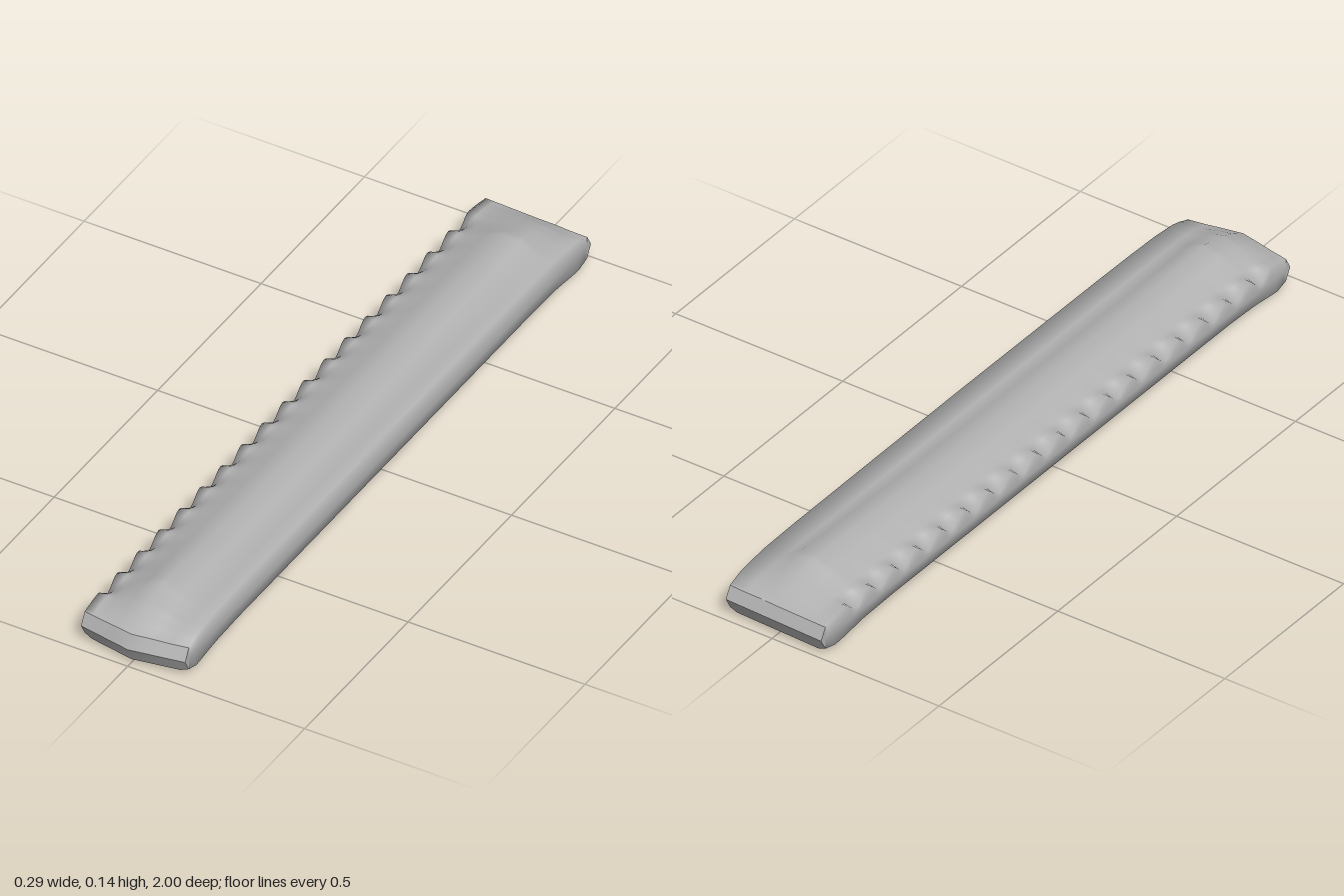
import * as THREE from 'three';
import { toCreasedNormals } from 'three/addons/utils/BufferGeometryUtils.js';

const HALF = 0.147;

// Heights along the length: [z, ridge, right shoulder, left shoulder, right lip, groove, underside]
const KEYS = [
  [-0.982, 0.083, 0.084, 0.083, 0.084, 0.083, 0.012],
  [-0.94, 0.103, 0.104, 0.1, 0.099, 0.092, 0.001],
  [-0.9, 0.116, 0.116, 0.11, 0.105, 0.097, 0.004],
  [-0.82, 0.139, 0.136, 0.122, 0.113, 0.1, 0.013],
  [-0.7, 0.136, 0.13, 0.12, 0.116, 0.1, 0.016],
  [-0.35, 0.132, 0.12, 0.119, 0.118, 0.1, 0.016],
  [0, 0.131, 0.118, 0.118, 0.119, 0.1, 0.016],
  [0.57, 0.134, 0.118, 0.12, 0.117, 0.1, 0.016],
  [0.72, 0.141, 0.12, 0.124, 0.115, 0.1, 0.016],
  [0.82, 0.145, 0.122, 0.127, 0.112, 0.1, 0.012],
  [0.9, 0.127, 0.115, 0.115, 0.105, 0.098, 0.004],
  [0.94, 0.11, 0.104, 0.104, 0.098, 0.094, 0.001],
  [0.982, 0.088, 0.087, 0.087, 0.085, 0.085, 0.012],
];

function heightsAt(z) {
  let i = 0;
  while (i < KEYS.length - 2 && z > KEYS[i + 1][0]) i++;
  const a = KEYS[i], b = KEYS[i + 1];
  const t = THREE.MathUtils.clamp((z - a[0]) / (b[0] - a[0]), 0, 1);
  return a.slice(1).map((v, k) => THREE.MathUtils.lerp(v, b[k + 1], t));
}

// Bowed front end and slightly skewed back end
function bend(x, z) {
  const end = THREE.MathUtils.smoothstep(Math.abs(z), 0.85, 0.98);
  return z > 0 ? z - 0.026 * end * Math.abs(x / HALF) : z + 0.012 * end * (x / HALF + 1) * 0.5;
}

// Cross-section, counter-clockwise as seen from the front
function section(z) {
  const [ridge, right, left, lip, groove, base] = heightsAt(z);
  const scallop = Math.abs(z) < 0.9 ? 0.5 - 0.5 * Math.cos((z + 0.9) * Math.PI * 20) : 0;
  const outline = [
    [HALF, base + 0.008], [HALF, 0.055], [HALF, lip], [0.1, groove], [0.05, right],
    [0, ridge], [-0.05, left], [-0.1, groove], [-0.122, groove - 0.008 * scallop],
    [-HALF, groove - 0.032 * scallop], [-HALF, 0.05], [-HALF, base + 0.008],
    [-0.125, base], [0, base], [0.125, base],
  ];
  return outline.map(([x, y]) => [x, y, bend(x, z)]);
}

// Joins rings of points that run from back to front
function loft(rings) {
  const n = rings[0].length, index = [];
  for (let r = 0; r < rings.length - 1; r++) {
    for (let i = 0; i < n; i++) {
      const a = r * n + i, b = r * n + (i + 1) % n;
      index.push(a, b, b + n, a, b + n, a + n);
    }
  }
  const geometry = new THREE.BufferGeometry();
  geometry.setAttribute('position', new THREE.Float32BufferAttribute(rings.flat(2), 3));
  geometry.setIndex(index);
  geometry.computeVertexNormals();
  return geometry;
}

export function createModel() {
  const group = new THREE.Group();
  const grey = new THREE.MeshStandardMaterial({ color: 0xb2b2b2 });
  grey.name = 'grey';
  const add = (name, geometry) => {
    const mesh = new THREE.Mesh(geometry, grey);
    mesh.name = name;
    group.add(mesh);
  };

  // Long ridged bar with a scalloped left-hand edge in plan
  const rings = [];
  const steps = 196;
  for (let i = 0; i <= steps; i++) rings.push(section(-0.982 + (1.964 * i) / steps));
  add('bar', loft(rings));

  // Bevelled ends closing to a horizontal edge
  const closeEnd = (ring, side) => ring.map(([x, , z]) => [x, 0.052, z + side * 0.018]);
  const front = rings[steps], back = rings[0];
  add('frontBevel', toCreasedNormals(loft([front, closeEnd(front, 1)]), 0.7));
  add('backBevel', toCreasedNormals(loft([closeEnd(back, -1), back]), 0.7));
  return group;
}
